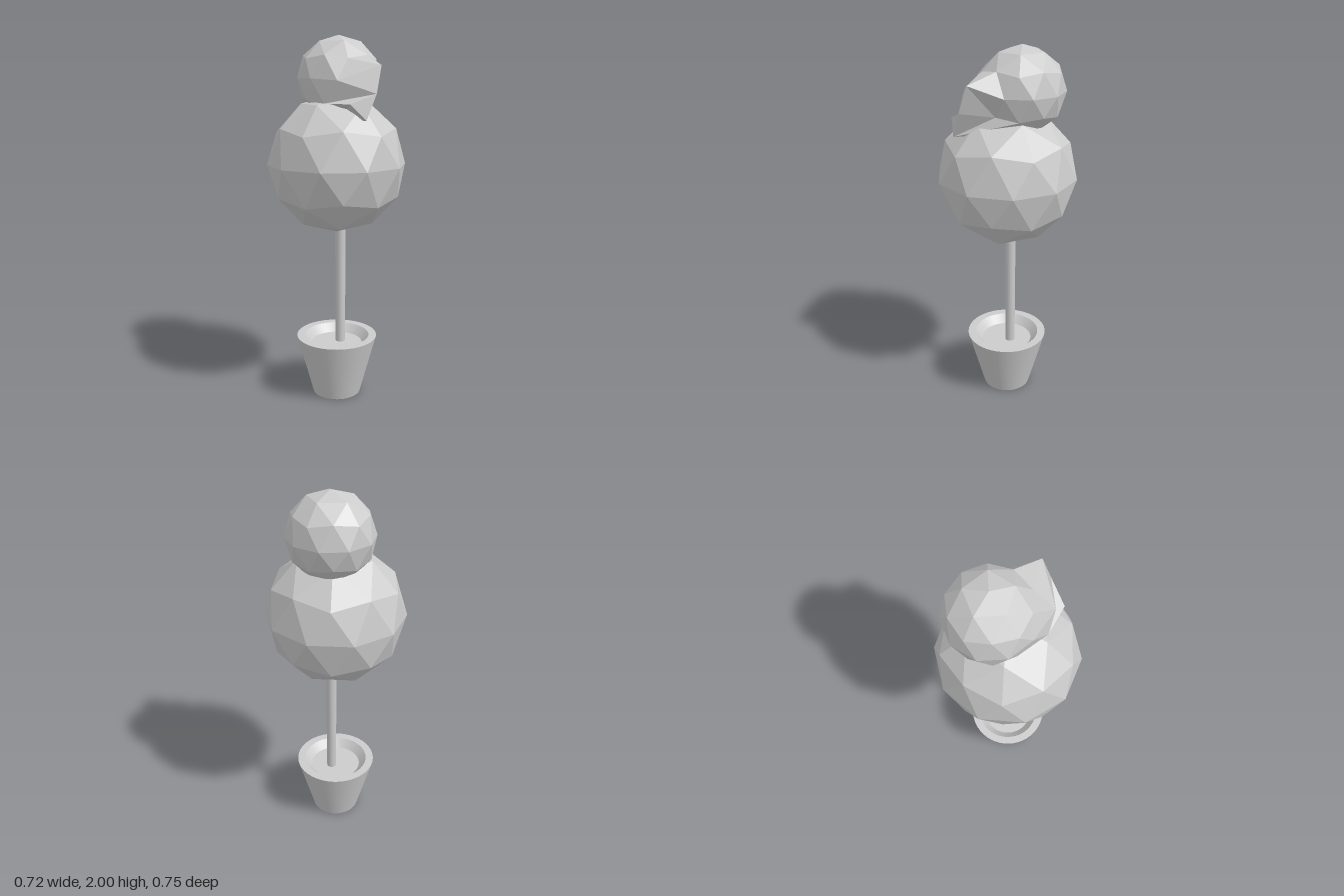
import * as THREE from 'three';

const grey = new THREE.MeshStandardMaterial({ color: 0xcccccc });
const facet = new THREE.MeshStandardMaterial({ color: 0xcccccc, flatShading: true });

// Faceted ball standing on a corner, with a corner of its upper ring at the given azimuth (degrees, +x to +z)
function facetedBall(radius, azimuth) {
  const g = new THREE.IcosahedronGeometry(radius, 1);
  g.rotateZ(-Math.atan(2 / (1 + Math.sqrt(5))));
  g.rotateY(-THREE.MathUtils.degToRad(azimuth));
  return g;
}

// Point on a ball from azimuth and height, both relative to its centre
function onBall(radius, azimuth, h) {
  const a = THREE.MathUtils.degToRad(azimuth);
  const r = radius * Math.sqrt(1 - h * h);
  return new THREE.Vector3(r * Math.cos(a), radius * h, r * Math.sin(a));
}

export function createModel() {
  const group = new THREE.Group();
  const add = (name, geometry, material, x = 0, y = 0, z = 0) => {
    const mesh = new THREE.Mesh(geometry, material);
    mesh.name = name;
    mesh.position.set(x, y, z);
    group.add(mesh);
    return mesh;
  };

  // Pot: separate profile runs keep the rim and base edges sharp
  const pot = new THREE.Group();
  pot.name = 'pot';
  const runs = {
    potBase: [[0, 0], [0.135, 0]],
    potWall: [[0.135, 0], [0.226, 0.34]],
    potRim: [[0.226, 0.34], [0.182, 0.34]],
    potInside: [[0.182, 0.34], [0.142, 0.295]],
    soil: [[0.142, 0.295], [0, 0.295]],
  };
  for (const [name, pts] of Object.entries(runs)) {
    const profile = pts.map(([r, y]) => new THREE.Vector2(r, y));
    const mesh = new THREE.Mesh(new THREE.LatheGeometry(profile, 48), grey);
    mesh.name = name;
    pot.add(mesh);
  }
  group.add(pot);

  // Trunk
  add('trunk', new THREE.CylinderGeometry(0.03, 0.027, 0.8, 16), grey, 0.027, 0.69, -0.01);

  // Lower foliage ball
  add('lowerFoliage', facetedBall(0.376, 0), facet, 0, 1.321, 0);

  // Upper foliage ball, with its lower front corners pulled forward into a jutting clump
  const R = 0.226;
  const centre = new THREE.Vector3(0.04, 1.774, -0.067);
  const upper = facetedBall(R, 28);
  const pulls = [
    // azimuth, height on ball, new position in the model
    [82, 0, [0.13, 1.84, 0.26]],
    [118, 0, [-0.085, 1.765, 0.2]],
    [100, -0.526, [0.09, 1.7, 0.29]],
    [136, -0.447, [-0.13, 1.65, 0.14]],
    [136, -0.851, [-0.05, 1.65, 0.28]],
    [64, -0.851, [0.03, 1.57, 0.3]],
  ].map(([az, h, to]) => [onBall(R, az, h), new THREE.Vector3(...to).sub(centre)]);
  const pos = upper.attributes.position;
  const p = new THREE.Vector3();
  for (let i = 0; i < pos.count; i++) {
    p.fromBufferAttribute(pos, i);
    const pull = pulls.find(([from]) => from.distanceTo(p) < 0.03);
    if (pull) pos.setXYZ(i, ...pull[1].toArray());
  }
  upper.computeVertexNormals();
  add('upperFoliage', upper, facet, ...centre.toArray());

  return group;
}
